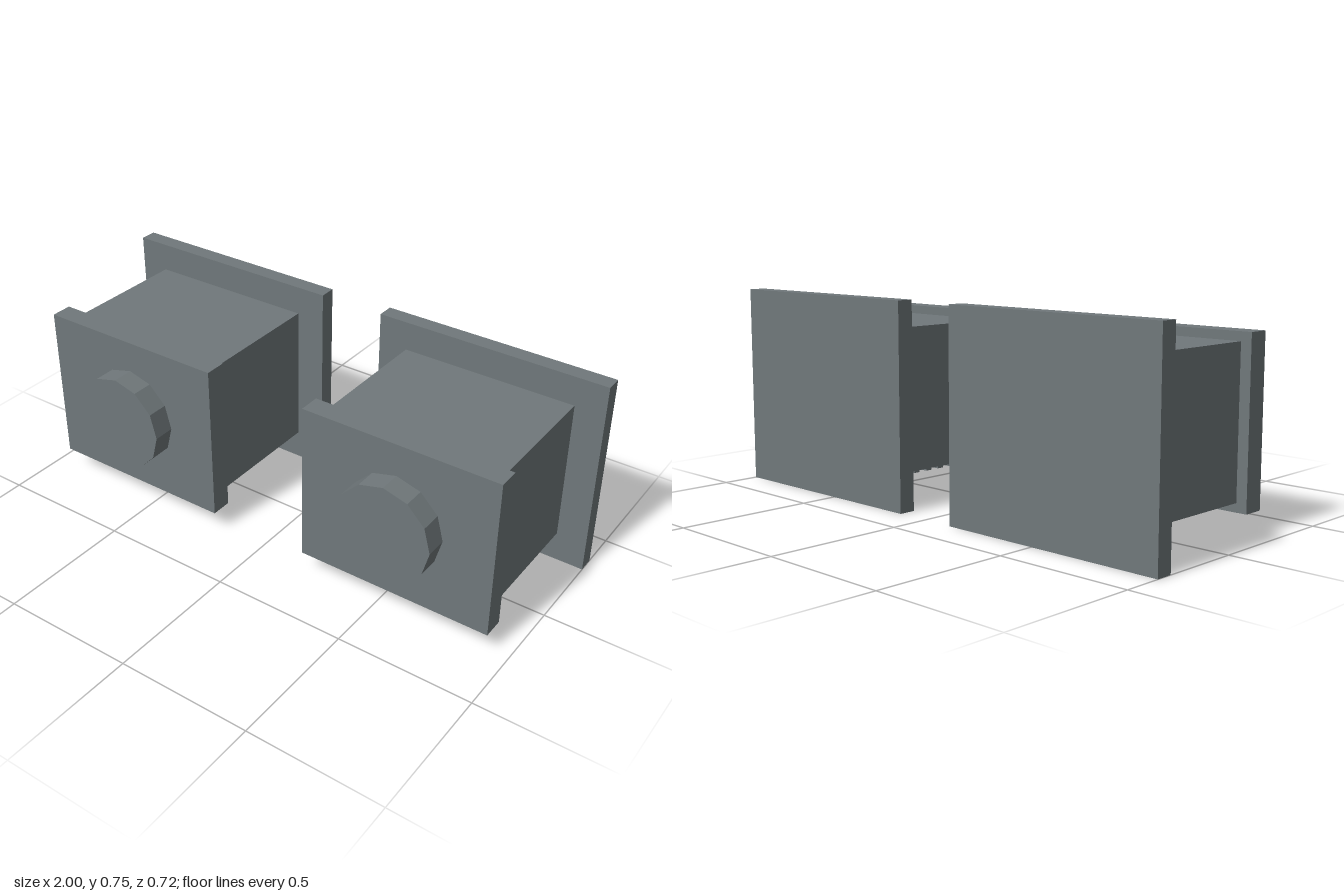
import * as THREE from 'three';

const CENTER_X = 0.5625;
const CENTER_Y = 0.377;

export function createModel() {
  const model = new THREE.Group();
  model.name = 'wallUnits';
  const steel = new THREE.MeshStandardMaterial({ color: 0x70787b });
  steel.name = 'greySteel';

  const add = (parent, name, geometry, x, y, z) => {
    const mesh = new THREE.Mesh(geometry, steel);
    mesh.name = name;
    mesh.position.set(x, y, z);
    parent.add(mesh);
  };

  // Box given by its width and its y and z limits, centred on the unit
  const slab = (parent, name, width, y0, y1, z0, z1) =>
    add(parent, name, new THREE.BoxGeometry(width, y1 - y0, z1 - z0),
      0, (y0 + y1) / 2, (z0 + z1) / 2);

  // Twelve-sided knob, turned to face +z with a corner pointing sideways
  const knob = new THREE.CylinderGeometry(0.18, 0.18, 0.08, 12).toNonIndexed();
  knob.rotateX(Math.PI / 2);
  knob.computeVertexNormals();

  for (const side of [1, -1]) {
    const unit = new THREE.Group();
    unit.name = side > 0 ? 'leftUnit' : 'rightUnit';
    unit.position.x = side * CENTER_X;

    slab(unit, 'backPlate', 0.875, 0, 0.75, -0.36, -0.298);
    slab(unit, 'body', 0.653, 0.112, 0.642, -0.298, 0.203);
    slab(unit, 'frontPlate', 0.732, 0.08, 0.674, 0.203, 0.282);
    add(unit, 'knob', knob, 0, CENTER_Y, 0.322);

    // Vent slats just under the body
    for (let i = 0; i < 6; i++) {
      const z = 0.126 - i * 0.0597;
      slab(unit, 'ventSlat', 0.5, 0.083, 0.108, z - 0.013, z + 0.013);
    }
    model.add(unit);
  }
  return model;
}
